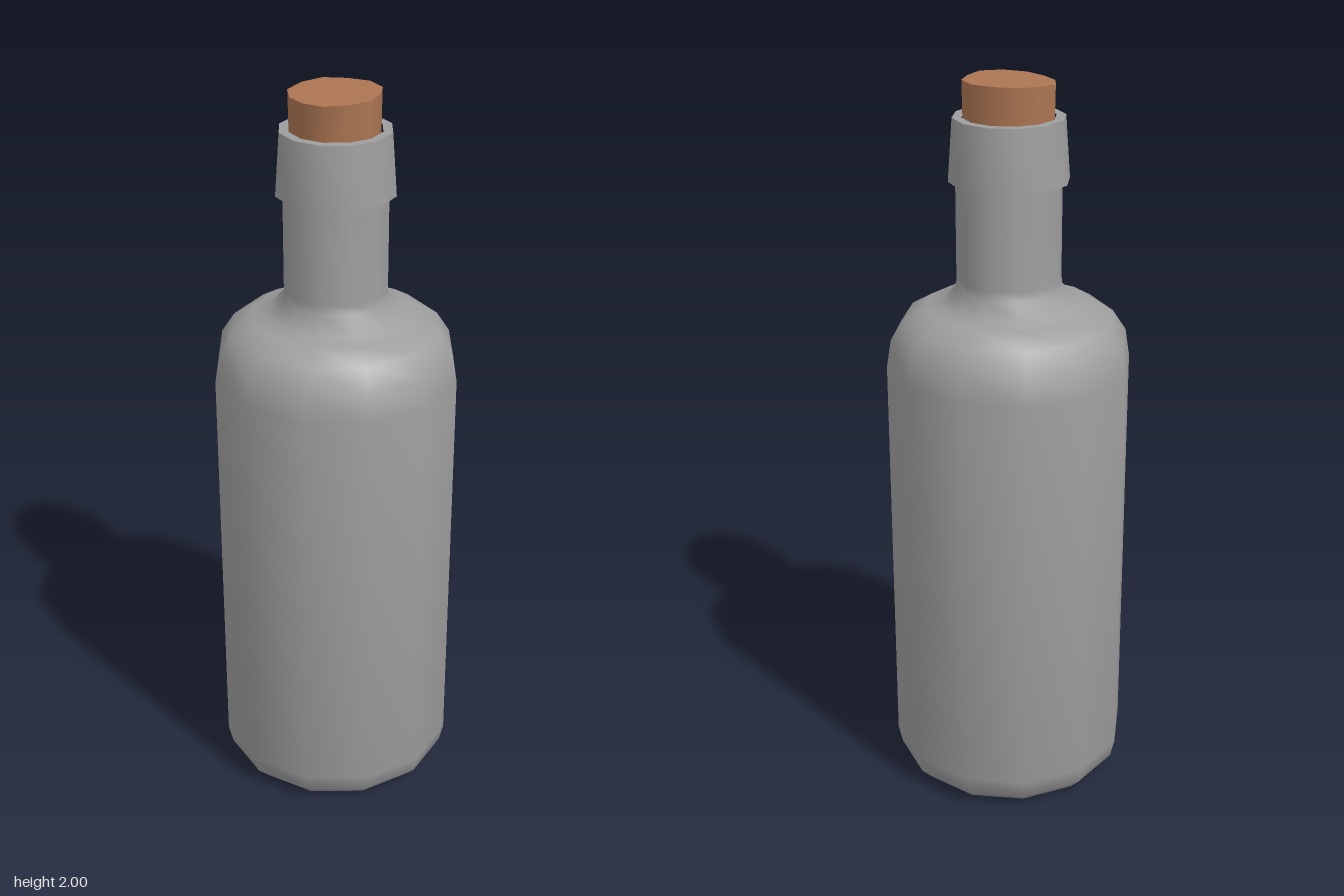
import * as THREE from 'three';
import { toCreasedNormals } from 'three/addons/utils/BufferGeometryUtils.js';

const SIDES = 12;

function addPart(model, name, geometry, color) {
  const mesh = new THREE.Mesh(
    toCreasedNormals(geometry, THREE.MathUtils.degToRad(50)),
    new THREE.MeshStandardMaterial({ color })
  );
  mesh.name = name;
  model.add(mesh);
  return mesh;
}

function lathe(profile) {
  return new THREE.LatheGeometry(profile.map(([r, y]) => new THREE.Vector2(r, y)), SIDES);
}

export function createModel() {
  const model = new THREE.Group();
  model.name = 'corkedBottle';

  // Bottle: one turned shell from base to the open mouth
  addPart(model, 'bottle', lathe([
    [0, 0], [0.225, 0], [0.285, 0.014], [0.318, 0.048], [0.33, 0.1],
    [0.33, 1.24], [0.318, 1.315], [0.282, 1.37], [0.225, 1.403], [0.182, 1.41],
    [0.142, 1.455], [0.14, 1.48], [0.14, 1.74],
    [0.159, 1.74], [0.147, 1.905], [0.122, 1.905],
  ]), 0x9e9e9e);

  // Liquid: fills the body inside the shell
  addPart(model, 'liquid', lathe([
    [0, 0.02], [0.22, 0.02], [0.275, 0.035], [0.305, 0.065], [0.315, 0.11],
    [0.315, 1.2], [0, 1.2],
  ]), 0x2a3ba8);

  // Cork: a plug with an uneven, hand-cut rim, its top worn lower at the front right
  const radii = [0.122, 0.121, 0.122, 0.113, 0.121, 0.122, 0.115, 0.123, 0.121, 0.125, 0.118, 0.115];
  const corkGeometry = new THREE.CylinderGeometry(1, 0.96, 0.28, SIDES);
  const pos = corkGeometry.attributes.position;
  for (let i = 0; i < pos.count; i++) {
    const x = pos.getX(i), y = pos.getY(i), z = pos.getZ(i);
    const step = Math.round(Math.atan2(x, z) / (Math.PI * 2) * SIDES);
    const r = radii[(step + SIDES) % SIDES];
    const wear = y > 0 ? 0.006 * Math.max(0, z - x) : 0;
    pos.setXYZ(i, x * r, y - wear, z * r);
  }
  addPart(model, 'cork', corkGeometry, 0xac7552).position.y = 1.86;

  return model;
}
